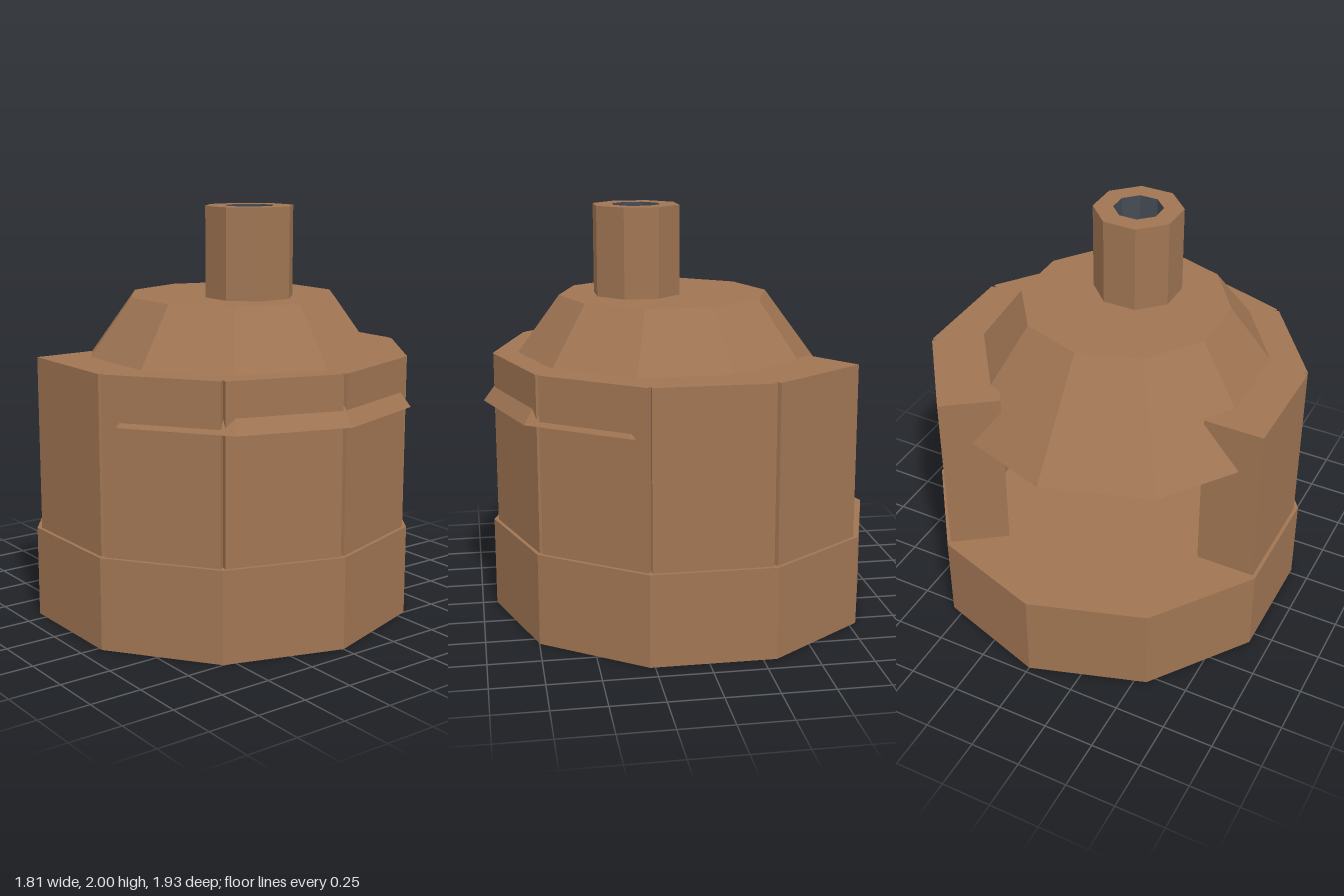
import * as THREE from 'three';

export function createModel() {
  const model = new THREE.Group();
  const clay = new THREE.MeshStandardMaterial({ color: 0xa07553, flatShading: true });
  clay.name = 'brown clay';
  const soot = new THREE.MeshStandardMaterial({ color: 0x454b55, flatShading: true });
  soot.name = 'dark soot';

  const add = (name, geometry, material, x, y, z, parent = model) => {
    const mesh = new THREE.Mesh(geometry, material);
    mesh.name = name;
    mesh.position.set(x, y, z);
    parent.add(mesh);
    return mesh;
  };

  // Ten-sided base slab
  const baseZ = -0.02, baseTop = 0.443, wallTop = 1.29;
  add('base', new THREE.CylinderGeometry(0.95, 0.95, baseTop, 10), clay, 0, baseTop / 2, baseZ);

  // Seven thick wall blocks, leaving three sides open at the back
  const walls = new THREE.Group();
  walls.name = 'walls';
  walls.position.z = baseZ;
  model.add(walls);
  const outer = 0.886, thick = 0.295, width = 0.556, height = wallTop - baseTop;
  const block = new THREE.BoxGeometry(width, height, thick);
  for (let i = 0; i < 7; i++) {
    const a = THREE.MathUtils.degToRad(-90 + 36 * i);
    const r = outer - thick / 2;
    const wall = add('wallBlock', block, clay, Math.sin(a) * r, baseTop + height / 2, Math.cos(a) * r, walls);
    wall.rotation.y = a;
  }

  // Tapered roof whose wide rim pokes through the front walls
  const roofTop = 1.567, roofBottom = 1.055, roofHeight = roofTop - roofBottom;
  add('roof', new THREE.CylinderGeometry(0.512, 0.89, roofHeight, 10), clay, 0, roofBottom + roofHeight / 2, 0.072);

  // Octagonal chimney with a sooty bore
  const lathe = (points) => new THREE.LatheGeometry(
    points.map(([r, y]) => new THREE.Vector2(r, y)), 8, Math.PI / 8);
  const outR = 0.2165, inR = 0.12, top = 2 - roofTop;
  add('chimney', lathe([[outR, 0], [outR, top], [inR, top]]), clay, 0, roofTop, 0.205);
  add('chimneyBore', lathe([[inR, top], [inR, 0]]), soot, 0, roofTop, 0.205);

  return model;
}
